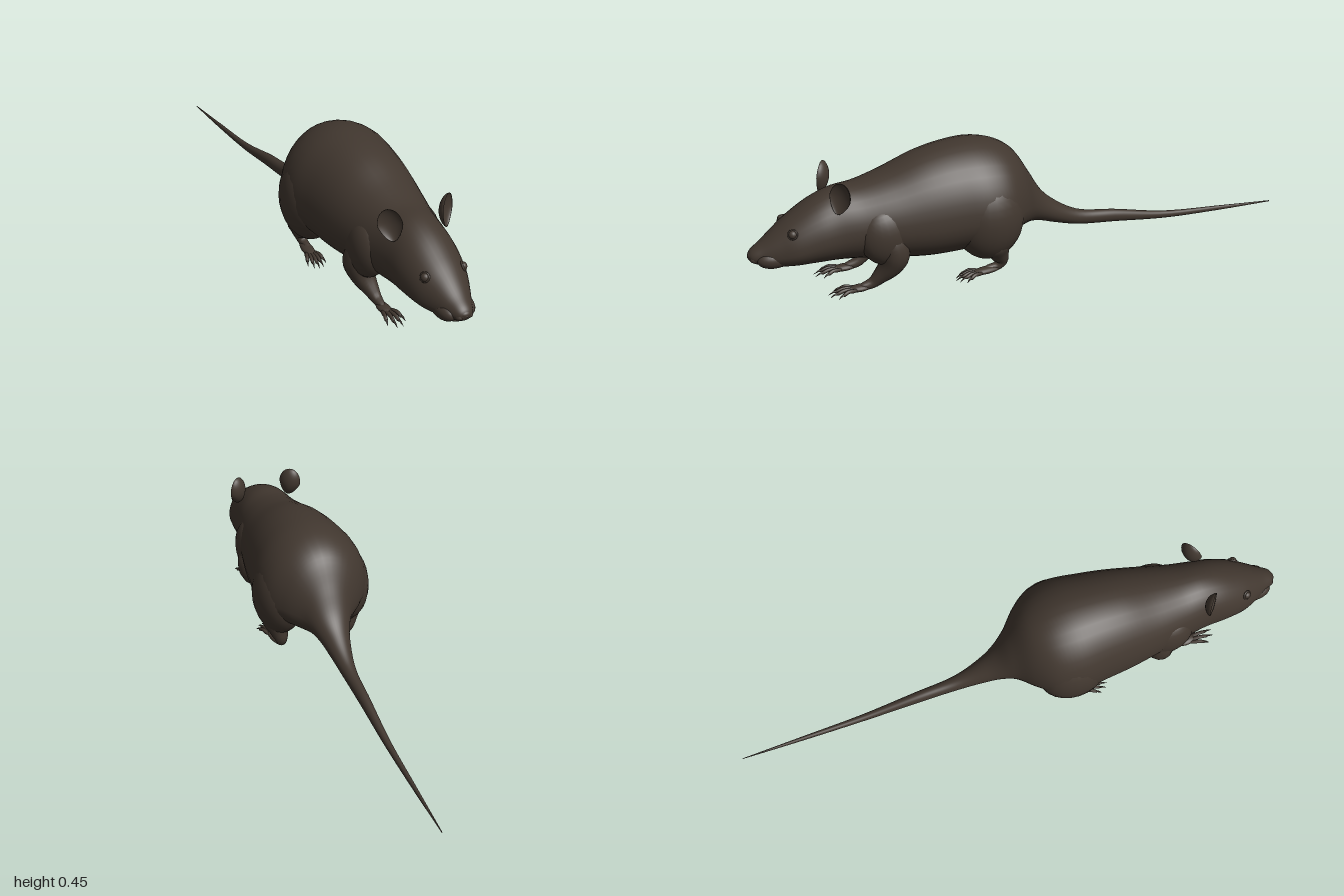
import * as THREE from 'three';
import { mergeVertices } from 'three/addons/utils/BufferGeometryUtils.js';

const fur = new THREE.MeshStandardMaterial({ color: 0x41372f });
fur.name = 'darkBrownFur';

// Weld seams so that the shading is smooth all round
function smooth(geo) {
  geo.deleteAttribute('uv');
  geo.deleteAttribute('normal');
  const g = mergeVertices(geo, 1e-5);
  g.computeVertexNormals();
  return g;
}

function add(parent, name, geo, pos = [0, 0, 0], rot = [0, 0, 0]) {
  const m = new THREE.Mesh(geo, fur);
  m.name = name;
  m.position.set(...pos);
  m.rotation.set(...rot);
  parent.add(m);
  return m;
}

function ellipsoid(rx, ry, rz, w = 24, h = 16) {
  return new THREE.SphereGeometry(1, w, h).scale(rx, ry, rz);
}

// Tube through [x, y, z, radius] points
function limb(pts, steps = 20, sides = 14) {
  const curve = new THREE.CatmullRomCurve3(pts.map(p => new THREE.Vector3(p[0], p[1], p[2])));
  const radii = new THREE.CatmullRomCurve3(pts.map((p, i) => new THREE.Vector3(i, p[3], 0)), false, 'catmullrom', 0.5);
  const geo = new THREE.TubeGeometry(curve, steps, 1, sides);
  const pos = geo.attributes.position, v = new THREE.Vector3();
  for (let i = 0; i < pos.count; i++) {
    const u = Math.floor(i / (sides + 1)) / steps;
    const c = curve.getPointAt(u);
    const r = Math.max(0.0004, radii.getPoint(curve.getUtoTmapping(u)).y);
    v.fromBufferAttribute(pos, i).sub(c).multiplyScalar(r).add(c);
    pos.setXYZ(i, v.x, v.y, v.z);
  }
  return smooth(geo);
}

// Cross-sections from nose to tail tip: z, top, bottom, half width, height of widest point
const SECTIONS = [
  [1, .163, .162, .001, .163], [.988, .184, .144, .026, .163], [.95, .212, .128, .048, .165],
  [.9, .252, .119, .074, .17], [.85, .288, .115, .096, .18], [.77, .335, .113, .112, .2],
  [.7, .36, .11, .118, .21], [.62, .368, .102, .132, .215], [.52, .393, .088, .155, .215],
  [.4, .435, .074, .178, .215], [.3, .454, .074, .192, .22], [.2, .457, .085, .204, .22],
  [.12, .438, .108, .19, .22], [.06, .4, .116, .148, .22], [0, .31, .116, .088, .2],
  [-.05, .228, .107, .06, .165], [-.1, .178, .09, .044, .133], [-.2, .118, .062, .026, .09],
  [-.35, .09, .044, .019, .067], [-.55, .047, .02, .012, .034], [-.78, .026, .009, .007, .017],
  [-1, .008, .004, .001, .006]
];

function bodyGeometry(rows = 110, sides = 36) {
  const heights = new THREE.CatmullRomCurve3(SECTIONS.map(s => new THREE.Vector3(s[0], s[1], s[2])));
  const widths = new THREE.CatmullRomCurve3(SECTIONS.map(s => new THREE.Vector3(s[0], s[3], s[4])));
  const pos = [], idx = [];
  for (let i = 0; i <= rows; i++) {
    const h = heights.getPoint(i / rows), w = widths.getPoint(i / rows);
    for (let j = 0; j < sides; j++) {
      const a = j / sides * Math.PI * 2, s = Math.sin(a);
      pos.push(w.y * Math.cos(a), w.z + s * (s > 0 ? h.y - w.z : w.z - h.z), h.x);
      if (i === rows) continue;
      const p = i * sides + j, q = i * sides + (j + 1) % sides;
      idx.push(p, p + sides, q, q, p + sides, q + sides);
    }
  }
  const g = new THREE.BufferGeometry();
  g.setAttribute('position', new THREE.Float32BufferAttribute(pos, 3));
  g.setIndex(idx);
  g.computeVertexNormals();
  return g;
}

// Thin round cup, hollow toward +z and narrower at the base
function earGeometry() {
  const geo = new THREE.SphereGeometry(1, 28, 20).rotateX(Math.PI / 2);
  const pos = geo.attributes.position;
  for (let i = 0; i < pos.count; i++) {
    const x = pos.getX(i), y = pos.getY(i), z = pos.getZ(i);
    const r2 = x * x + y * y, depth = Math.sqrt(Math.max(0, 1 - r2));
    const nz = (z > 0 ? -.008 : -.02) * depth + .008 * r2;
    pos.setXYZ(i, x * .041 * (y < 0 ? 1 + .3 * y : 1), y * .056, nz);
  }
  return smooth(geo);
}

// Paw: flat palm with a fan of clawed toes
function paw(name, x, z, yaw, palm, toeLen, count) {
  const g = new THREE.Group();
  g.name = name;
  g.position.set(x, 0, z);
  g.rotation.y = yaw;
  add(g, 'palm', ellipsoid(.021, .012, palm, 16, 10), [0, .017, 0]);
  for (let i = 0; i < count; i++) {
    const f = i / (count - 1) * 2 - 1;
    const len = toeLen * (1 - .3 * f * f), sx = f * .016, z0 = palm * .55;
    const at = (k, y, r) => [sx + f * .015 * k, y, z0 + len * k, r];
    add(g, 'toe', limb([at(-.2, .017, .004), at(.1, .018, .007), at(.45, .021, .0065),
      at(.75, .014, .0055), at(.85, .012, .0005)], 10, 8));
    add(g, 'claw', limb([at(.65, .016, .003), at(.85, .015, .0035), at(1.1, .005, .0004)], 6, 6));
  }
  return g;
}

export function createModel() {
  const model = new THREE.Group();
  model.name = 'rat';
  add(model, 'bodyHeadAndTail', bodyGeometry());

  // Nose and lower jaw
  add(model, 'nose', ellipsoid(.02, .013, .014), [0, .166, .985]);
  add(model, 'lowerJaw', ellipsoid(.034, .016, .06), [0, .127, .9]);

  for (const s of [1, -1]) {
    const side = s > 0 ? 'left' : 'right';
    const half = new THREE.Group();
    half.name = side + 'Side';
    model.add(half);

    add(half, 'nostrilPad', ellipsoid(.015, .013, .02), [s * .017, .157, .974]);
    add(half, 'cheek', ellipsoid(.034, .032, .06), [s * .032, .155, .915]);

    // Eye with its lid
    const eye = new THREE.Group();
    eye.name = 'eye';
    eye.position.set(s * .07, .248, .86);
    eye.lookAt(s * .07 + s * .75, .248 + .42, .86 + .45);
    add(eye, 'eyeball', ellipsoid(.014, .014, .012, 16, 12));
    add(eye, 'eyelid', new THREE.TorusGeometry(.0145, .0035, 8, 20));
    half.add(eye);

    add(half, 'ear', earGeometry(), [s * .1, .36, .7], [-.08, s * .65, -s * .16]);

    // Front leg
    add(half, 'shoulder', ellipsoid(.06, .105, .095), [s * .1, .2, .55], [.2, 0, 0]);
    add(half, 'frontLeg', limb([[s * .11, .25, .56, .001], [s * .112, .2, .54, .04],
      [s * .115, .14, .525, .05], [s * .105, .092, .54, .042], [s * .092, .05, .575, .027],
      [s * .086, .028, .6, .019], [s * .086, .019, .64, .012], [s * .086, .017, .66, .0005]], 28));
    half.add(paw('frontPaw', s * .085, .645, 0, .04, .08, 4));

    // Hind leg
    add(half, 'haunch', ellipsoid(.092, .148, .125), [s * .121, .208, .19]);
    add(half, 'hindLeg', limb([[s * .13, .17, .19, .001], [s * .135, .12, .175, .052],
      [s * .132, .075, .158, .036], [s * .127, .04, .148, .022], [s * .125, .022, .165, .016],
      [s * .127, .018, .2, .013], [s * .13, .016, .23, .0005]], 26));
    half.add(paw('hindPaw', s * .131, .205, s * .12, .058, .078, 5));
  }
  return model;
}
